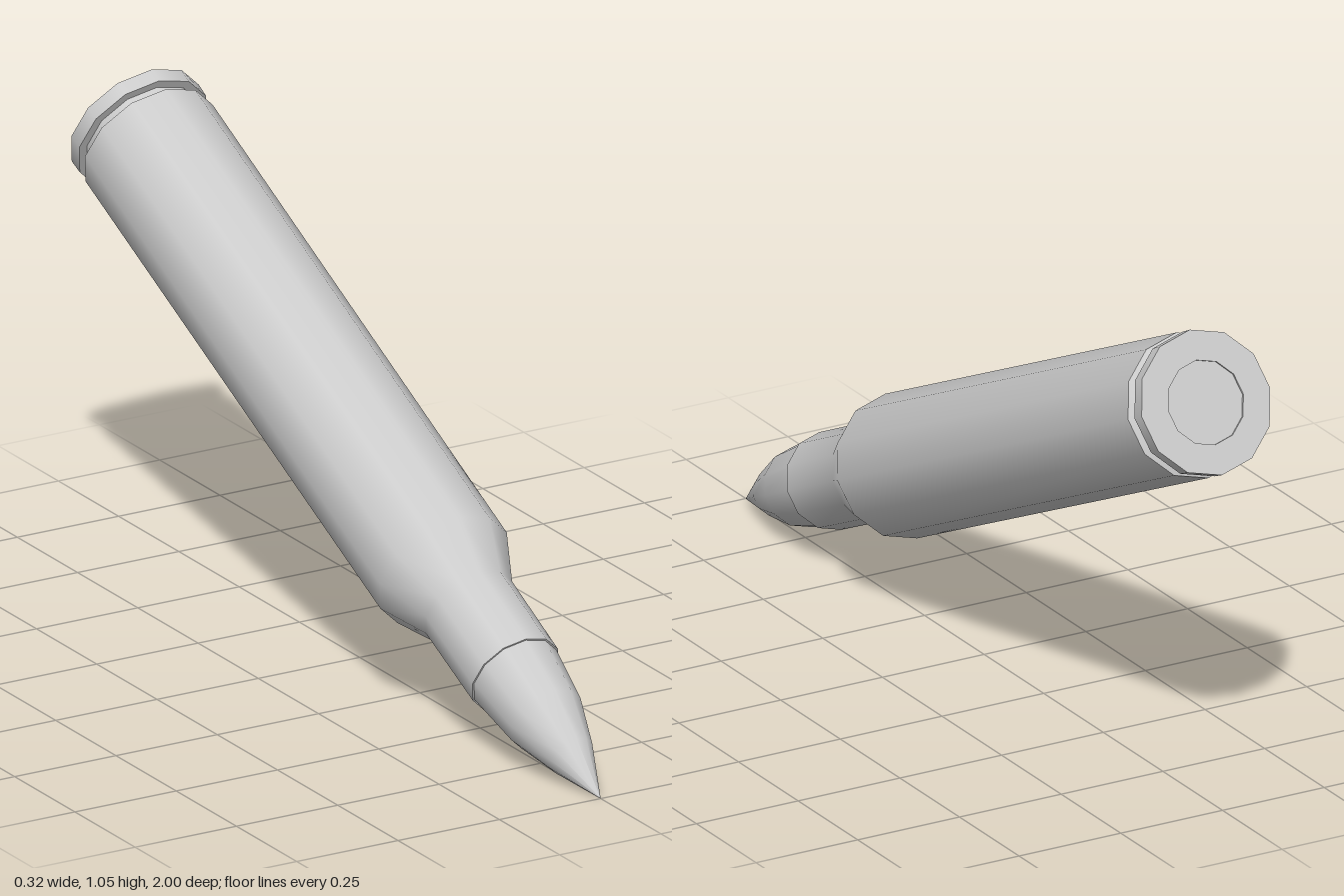
import * as THREE from 'three';

const SIDES = 12;
const material = new THREE.MeshStandardMaterial({ color: 0xcccccc });

// Turned part: profile given as [radius, distance from tip]
function turned(name, profile) {
  const points = profile.map(([r, s]) => new THREE.Vector2(r, s));
  const mesh = new THREE.Mesh(new THREE.LatheGeometry(points, SIDES), material);
  mesh.name = name;
  return mesh;
}

export function createModel() {
  const round = new THREE.Group();
  round.name = 'cartridge';

  // Pointed projectile
  round.add(turned('projectile', [[0, 0], [0.052, 0.135], [0.086, 0.251], [0.102, 0.391], [0.102, 0.43]]));

  // Case mouth, neck, shoulder and body
  round.add(turned('caseMouth', [[0.098, 0.391], [0.106, 0.391]]));
  round.add(turned('caseBody', [[0.106, 0.391], [0.107, 0.604], [0.157, 0.721], [0.158, 2.072]]));

  // Extractor groove
  round.add(turned('grooveShoulder', [[0.158, 2.072], [0.138, 2.08]]));
  round.add(turned('groove', [[0.138, 2.08], [0.138, 2.1]]));

  // Rim: front face, outer band and back face
  round.add(turned('rimFront', [[0.138, 2.1], [0.157, 2.1]]));
  round.add(turned('rimBand', [[0.157, 2.1], [0.158, 2.135]]));
  round.add(turned('rimBack', [[0.158, 2.135], [0.092, 2.135]]));

  // Primer set slightly into the base
  round.add(turned('primerPocket', [[0.092, 2.135], [0.092, 2.13]]));
  round.add(turned('primer', [[0.092, 2.13], [0, 2.13]]));

  // Tilt with the tip resting at the front
  round.rotation.x = -1.1296;
  round.position.set(0, 0.004, 1);

  const model = new THREE.Group();
  model.add(round);
  return model;
}
